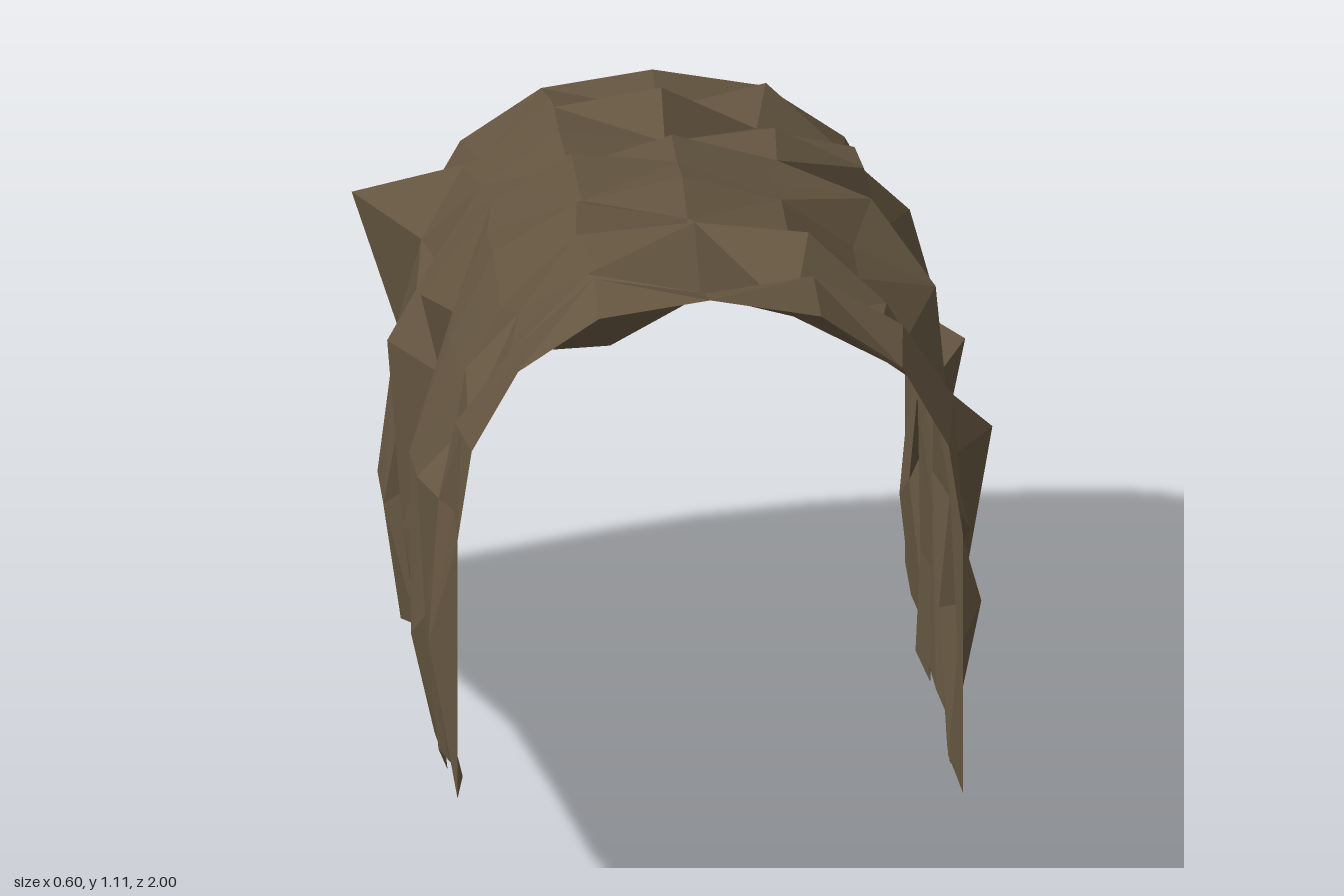
import * as THREE from 'three';

// Stations along the sloping tunnel: [z, lower edge y, crown y]
const STATIONS = [
  [1, 0.58, 1.11], [0.87, 0.55, 1.1], [0.77, 0.525, 1.035], [0.63, 0.48, 1.0],
  [0.49, 0.4, 0.99], [0.34, 0.378, 0.915], [0.2, 0.36, 0.905], [0.03, 0.315, 0.865],
  [-0.17, 0.215, 0.82], [-0.36, 0.17, 0.735], [-0.55, 0.125, 0.68],
  [-0.7, 0.07, 0.64], [-0.83, 0.035, 0.6], [-1, 0, 0.53],
];

// Half of the arch: [x, height as a share of the full height]
const HALF = [[0.25, 0], [0.25, 0.26], [0.25, 0.52], [0.236, 0.7], [0.19, 0.86], [0.11, 0.965]];
const ARCH = [...HALF, [0, 1], ...HALF.map(([x, t]) => [-x, t]).reverse()];

// Tips of the rocks that stick out of the walls: [x, y, z]
const OUTCROPS = [
  [0.3, 0.67, 0.27], [0.29, 0.52, -0.32], [0.275, 0.33, -0.6],
  [-0.3, 0.44, -0.91], [-0.28, 0.78, 0.65], [-0.28, 0.5, -0.38], [-0.275, 0.62, 0.2],
];

function seeded(seed) {
  return () => {
    seed = (seed * 16807) % 2147483647;
    return seed / 2147483647;
  };
}

function rockShell() {
  const rand = seeded(33871);
  const points = [];
  const index = [];
  const n = ARCH.length;
  const last = STATIONS.length - 1;

  STATIONS.forEach(([z, low, high], s) => {
    ARCH.forEach(([x, t], i) => {
      const p = new THREE.Vector3(x, low + (high - low) * t, z);
      points.push(p);
      if (s === 0 || s === last) return;
      if (i === 0 || i === n - 1) {
        p.x += (rand() - 0.5) * 0.02;
        return;
      }
      // Walls are rough, the roof is dented inward
      const roof = Math.max(0, (t - 0.5) * 2);
      const bump = THREE.MathUtils.lerp(-0.017 + rand() * 0.045, -0.05 + rand() * 0.06, roof);
      const dz = (rand() - 0.5) * 0.1;
      p.x += Math.sign(x) * Math.sqrt(1 - roof * roof) * bump;
      p.y += roof * bump + (rand() - 0.5) * 0.08 * (1 - roof) + dz * 0.28;
      p.z += dz;
    });
  });

  // Pull the nearest wall point out to each rock tip
  for (const tip of OUTCROPS) {
    const target = new THREE.Vector3(...tip);
    points.slice(n, -n)
      .reduce((a, b) => (a.distanceTo(target) < b.distanceTo(target) ? a : b))
      .copy(target);
  }

  // Join neighbouring arches, with alternating diagonals
  for (let s = 0; s < last; s++) {
    for (let i = 0; i < n - 1; i++) {
      const a = s * n + i, b = a + 1, c = a + n, d = c + 1;
      if ((s + i) % 2) index.push(a, c, b, b, c, d);
      else index.push(a, c, d, a, d, b);
    }
  }

  const shell = new THREE.BufferGeometry().setFromPoints(points);
  shell.setIndex(index);
  const faceted = shell.toNonIndexed();
  faceted.computeVertexNormals();
  return faceted;
}

export function createModel() {
  const group = new THREE.Group();
  group.name = 'rockTunnel';

  // Open faceted arch, visible from inside and outside
  const rock = new THREE.MeshStandardMaterial({
    color: 0x645540, flatShading: true, side: THREE.DoubleSide,
  });
  const shell = new THREE.Mesh(rockShell(), rock);
  shell.name = 'tunnelShell';
  group.add(shell);
  return group;
}
